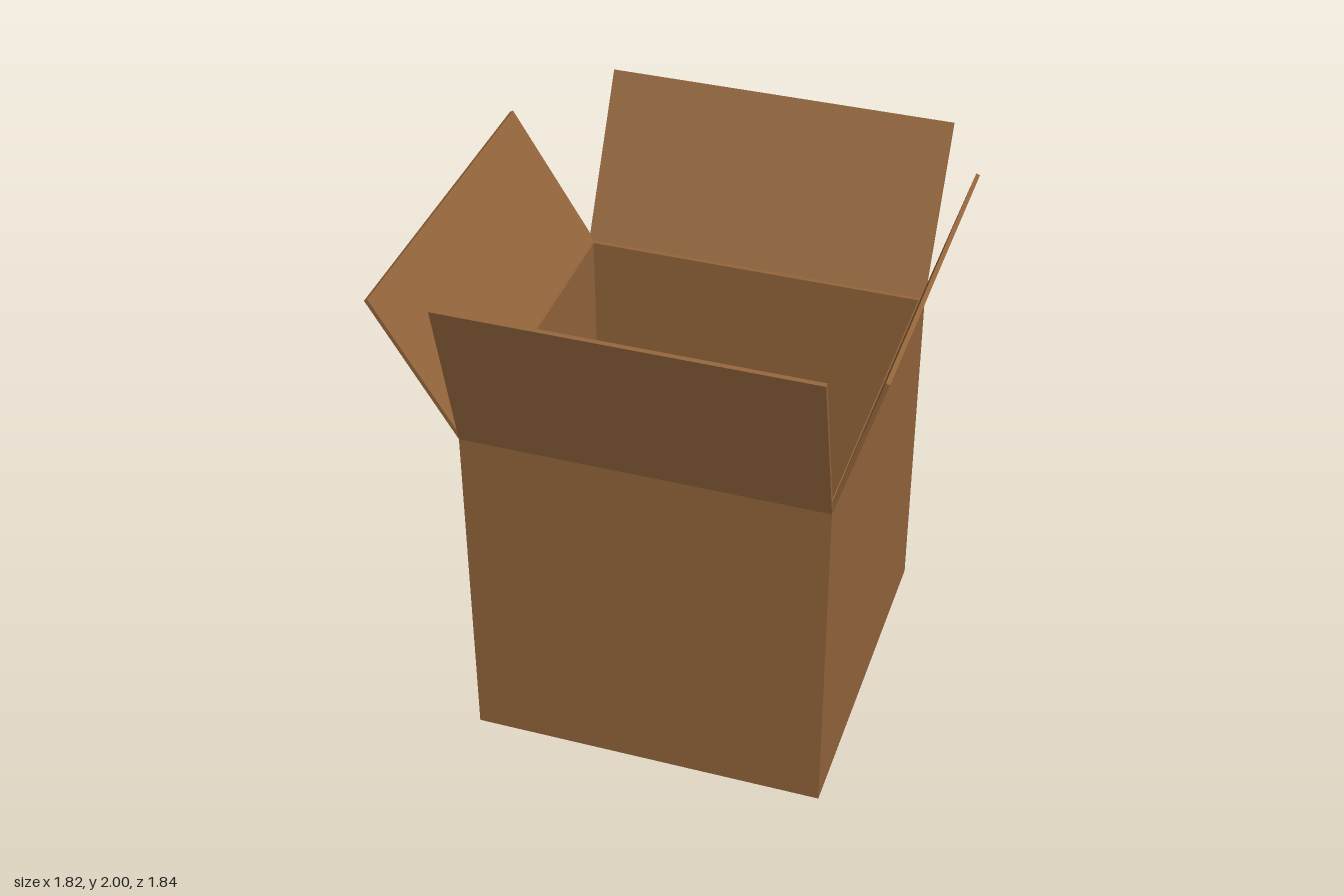
import * as THREE from 'three';

// Open cardboard box: walls, floor and four flaps folded outwards
const X0 = -0.6, X1 = 0.74, Z0 = -0.59, Z1 = 0.757;
const H = 1.355, T = 0.02, FLAP_T = 0.015;
const CX = (X0 + X1) / 2, CZ = (Z0 + Z1) / 2;
const W = X1 - X0, D = Z1 - Z0;

export function createModel() {
  const model = new THREE.Group();
  model.name = 'openBox';
  const cardboard = new THREE.MeshStandardMaterial({ color: 0x93653b });
  cardboard.name = 'cardboard';

  const add = (name, geometry) => {
    const mesh = new THREE.Mesh(geometry, cardboard);
    mesh.name = name;
    model.add(mesh);
    return mesh;
  };

  // Walls: a rectangular ring extruded upwards
  const rect = (Type, w, d) => new Type([
    new THREE.Vector2(-w / 2, -d / 2), new THREE.Vector2(w / 2, -d / 2),
    new THREE.Vector2(w / 2, d / 2), new THREE.Vector2(-w / 2, d / 2),
  ]);
  const ring = rect(THREE.Shape, W, D);
  ring.holes.push(rect(THREE.Path, W - 2 * T, D - 2 * T));
  const walls = new THREE.ExtrudeGeometry(ring, { depth: H, bevelEnabled: false });
  walls.rotateX(-Math.PI / 2);
  add('walls', walls).position.set(CX, 0, CZ);

  // Floor
  add('floor', new THREE.BoxGeometry(W - 2 * T, T, D - 2 * T)).position.set(CX, T / 2, CZ);

  // Flaps: hinged on the outer top edge; turn faces outwards, tilt opens
  const flaps = [
    ['frontFlap', CX, Z1, W, 0.66, 0, 14.2],
    ['backFlap', CX, Z0, W, 0.665, 180, 29.5],
    ['leftFlap', X1, CZ, D, 0.595, 90, 16.4],
    ['rightFlap', X0, CZ, D, 0.602, -90, 31.2],
  ];
  for (const [name, x, z, width, length, turn, tilt] of flaps) {
    const geometry = new THREE.BoxGeometry(width, length, FLAP_T);
    geometry.translate(0, length / 2, -FLAP_T / 2);
    const flap = add(name, geometry);
    flap.rotation.order = 'YXZ';
    flap.rotation.set(THREE.MathUtils.degToRad(tilt), THREE.MathUtils.degToRad(turn), 0);
    flap.position.set(x, H, z);
  }
  return model;
}
